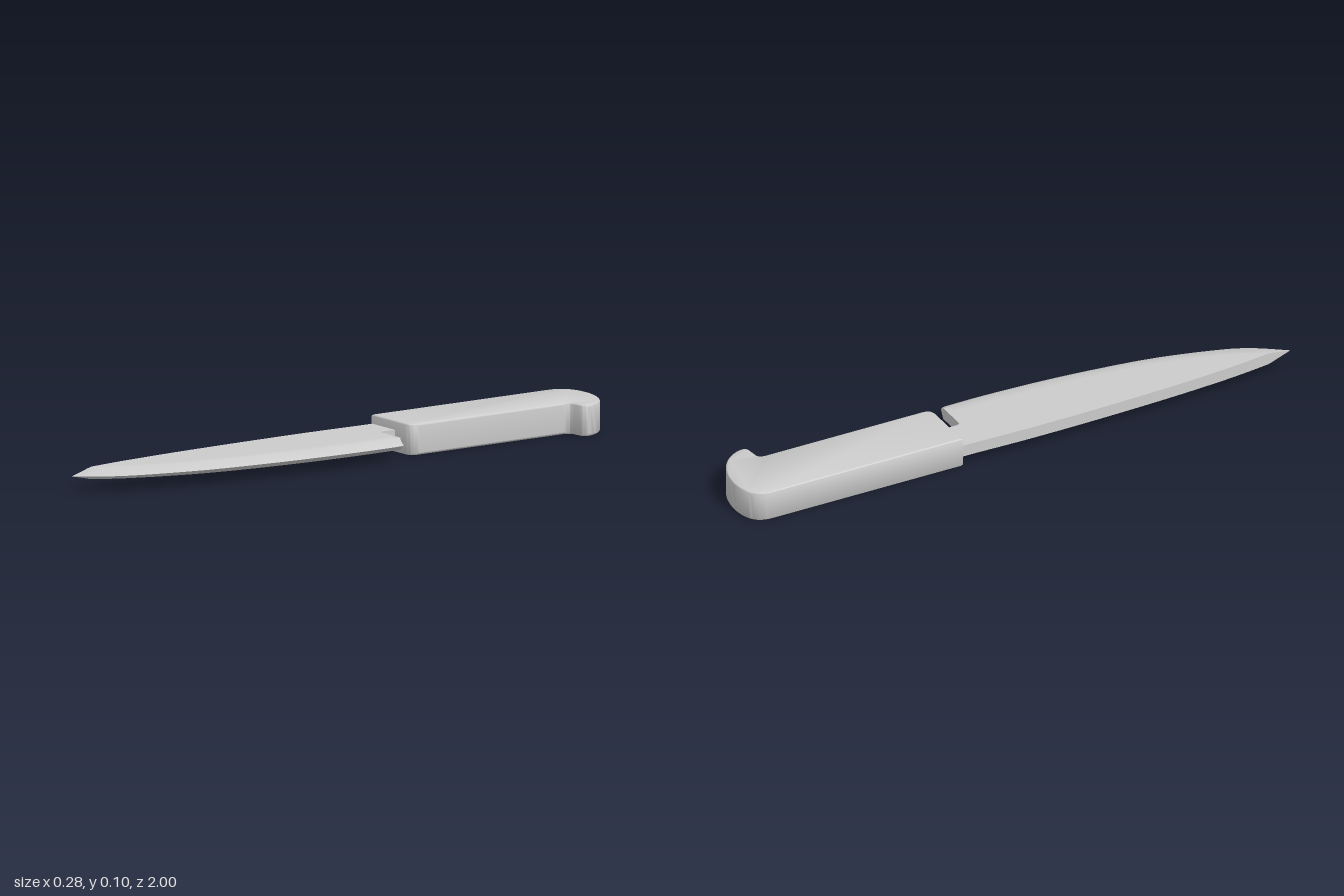
import * as THREE from 'three';
import { toCreasedNormals } from 'three/addons/utils/BufferGeometryUtils.js';

const MID = 0.053; // height of the blade's centre plane
const HALF = 0.02; // half thickness of the blade

function addMesh(group, name, geometry) {
  const mesh = new THREE.Mesh(geometry, new THREE.MeshStandardMaterial({ color: 0xcccccc }));
  mesh.name = name;
  group.add(mesh);
}

// Smooth outline x(z) through a few points
function outline(points) {
  const curve = new THREE.SplineCurve(points.map(([z, x]) => new THREE.Vector2(z, x)));
  const samples = curve.getPoints(300);
  return (z) => {
    let i = 1;
    while (i < samples.length - 1 && samples[i].x < z) i++;
    const a = samples[i - 1], b = samples[i];
    return THREE.MathUtils.mapLinear(z, a.x, b.x, a.y, b.y);
  };
}

// Handle: flat grip with a hooked butt and softly rounded rims
function handleGeometry() {
  const s = new THREE.Shape();
  s.moveTo(-0.143, 0.225);
  s.lineTo(0.035, 0.225);
  s.quadraticCurveTo(0.07, 0.225, 0.07, 0.26);
  s.lineTo(0.07, 0.83);
  s.quadraticCurveTo(0.07, 0.854, 0.092, 0.854);
  s.lineTo(0.12, 0.857);
  s.quadraticCurveTo(0.143, 0.858, 0.14, 0.885);
  s.bezierCurveTo(0.125, 0.955, 0.045, 1.0, -0.035, 1.0);
  s.bezierCurveTo(-0.105, 1.0, -0.143, 0.975, -0.143, 0.915);
  s.closePath();
  const r = 0.008;
  const g = new THREE.ExtrudeGeometry(s, {
    depth: 0.103 - 2 * r, curveSegments: 16,
    bevelThickness: r, bevelSize: r, bevelOffset: -r, bevelSegments: 4,
  });
  g.rotateX(-Math.PI / 2);
  g.translate(0, r, 0);
  return toCreasedNormals(g, 0.7);
}

// Blade: seven-sided cross-sections, flat spine at -x, ground edge at +x
function bladeGeometry() {
  const spine = outline([[-0.17, -0.138], [0, -0.142], [0.2, -0.141], [0.4, -0.136],
    [0.6, -0.127], [0.8, -0.111], [1, -0.083]]);
  const edge = outline([[-0.14, 0.136], [0, 0.137], [0.2, 0.129], [0.4, 0.111],
    [0.6, 0.082], [0.8, 0.03], [0.9, -0.012], [1, -0.082]]);
  const stations = [[-0.165, 0.105], [-0.16, 0.123], [-0.152, 0.133]];
  for (let i = 0; i <= 40; i++) {
    const z = -0.14 + 1.14 * Math.sin((i / 40) * Math.PI / 2);
    stations.push([z, edge(z)]);
  }
  const pos = [], index = [], n = 7;
  for (const [z, e] of stations) {
    const s = spine(z);
    const bevel = 0.038 + 0.045 * Math.max(0, z) ** 3; // grind widens to the tip
    const h = HALF * Math.min(1, (e - s) / bevel);
    const shoulder = Math.max(z < -0.145 ? 0.099 : s + 0.1 * (e - s), e - bevel);
    const inner = THREE.MathUtils.lerp(s, shoulder, 0.85);
    pos.push(s, MID + h, z, inner, MID + h, z, shoulder, MID + h, z, e, MID, z,
      shoulder, MID - h, z, inner, MID - h, z, s, MID - h, z);
  }
  for (let i = 0; i < stations.length - 1; i++) {
    for (let j = 0; j < n; j++) {
      const a = i * n + j, b = i * n + (j + 1) % n;
      index.push(a, a + n, b, b, a + n, b + n);
    }
  }
  // Heel and tip caps
  const last = (stations.length - 1) * n;
  for (let j = 1; j < n - 1; j++) {
    index.push(0, j, j + 1);
    index.push(last, last + j + 1, last + j);
  }
  const g = new THREE.BufferGeometry();
  g.setAttribute('position', new THREE.Float32BufferAttribute(pos, 3));
  g.setIndex(index);
  return toCreasedNormals(g, 0.65);
}

// Neck: narrow tang joining the blade to the handle
function neckGeometry() {
  const s = new THREE.Shape();
  s.moveTo(-0.138, 0.16);
  s.lineTo(0.005, 0.16);
  s.quadraticCurveTo(-0.015, 0.163, -0.015, 0.182);
  s.lineTo(-0.015, 0.25);
  s.lineTo(-0.138, 0.25);
  s.closePath();
  const g = new THREE.ExtrudeGeometry(s, { depth: 2 * HALF, bevelEnabled: false, curveSegments: 8 });
  g.rotateX(-Math.PI / 2);
  g.translate(0, MID - HALF, 0);
  return toCreasedNormals(g, 0.6);
}

export function createModel() {
  const knife = new THREE.Group();
  knife.name = 'knife';
  addMesh(knife, 'handle', handleGeometry());
  addMesh(knife, 'blade', bladeGeometry());
  addMesh(knife, 'neck', neckGeometry());
  return knife;
}
